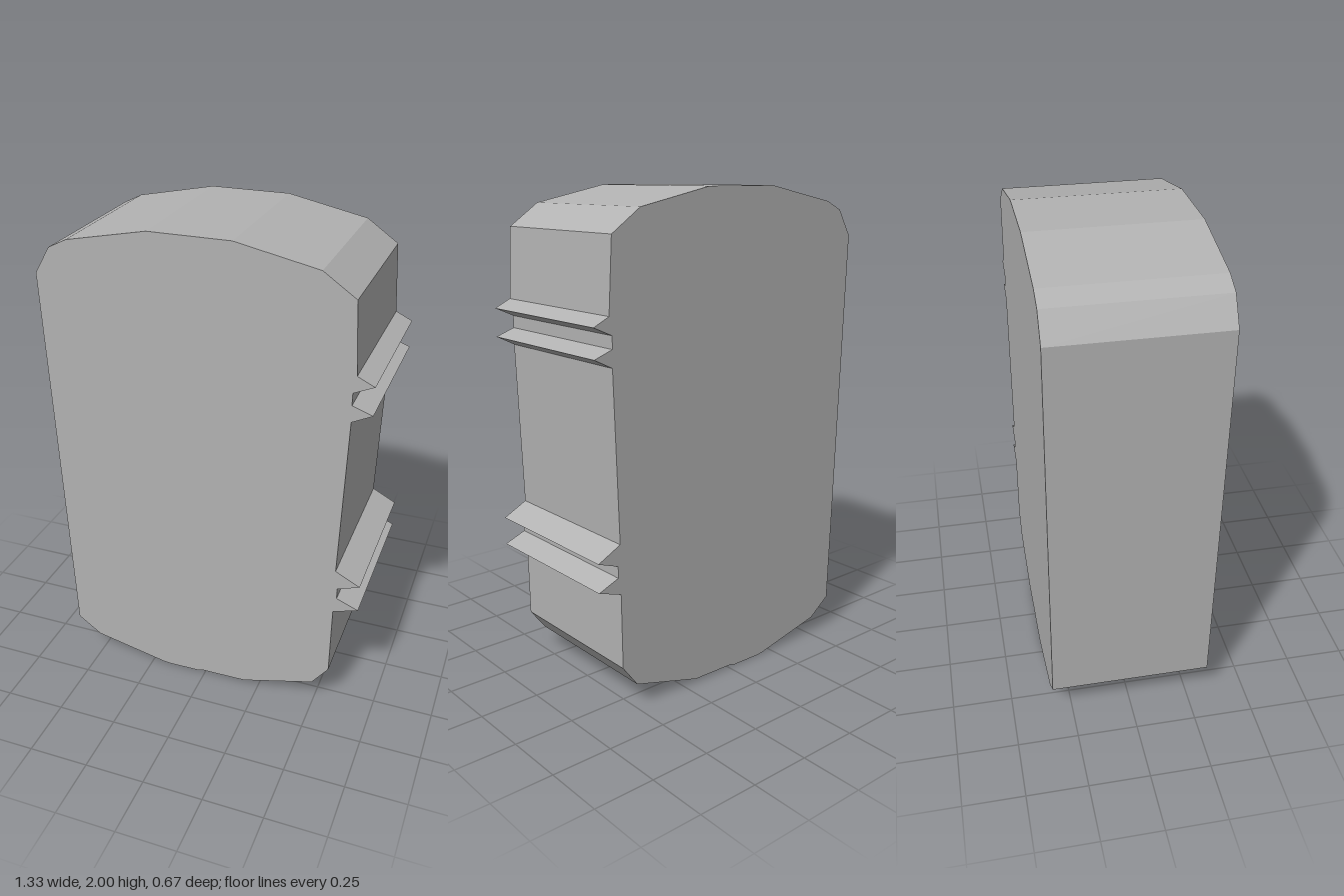
import * as THREE from 'three';

export function createModel() {
  const group = new THREE.Group();
  const grey = new THREE.MeshStandardMaterial({ color: 0xb2b2b2 });
  grey.name = 'grey';
  const depth = 0.667;

  // Each pair of ridges: root, tip, root, root, tip, root going up the +x side
  const lowerRidges = [[0.565, 0.5], [0.667, 0.533], [0.577, 0.57], [0.577, 0.617], [0.667, 0.649], [0.566, 0.702]];
  const upperRidges = [[0.588, 1.374], [0.667, 1.413], [0.587, 1.442], [0.587, 1.491], [0.667, 1.527], [0.599, 1.56]];

  // Rounded slab outline, counter-clockwise from the bottom
  const outline = [
    [-0.2, 0.003], [-0.17, 0], [-0.03, 0.002], [-0.01, 0.009], [0.185, 0.012], [0.492, 0.098], [0.561, 0.19],
    ...lowerRidges,
    ...upperRidges,
    [0.583, 1.843], [0.455, 1.932], [0.128, 2], [-0.2, 2],
    [-0.527, 1.934], [-0.603, 1.897], [-0.667, 1.79],
    [-0.617, 0.148], [-0.517, 0.074],
  ];
  const shape = new THREE.Shape(outline.map(([x, y]) => new THREE.Vector2(x, y)));

  // Flat-sided extrusion, centred front to back
  const geometry = new THREE.ExtrudeGeometry(shape, { depth, bevelEnabled: false });
  geometry.translate(0, 0, -depth / 2);
  const body = new THREE.Mesh(geometry, grey);
  body.name = 'ridgedSlab';
  group.add(body);
  return group;
}
